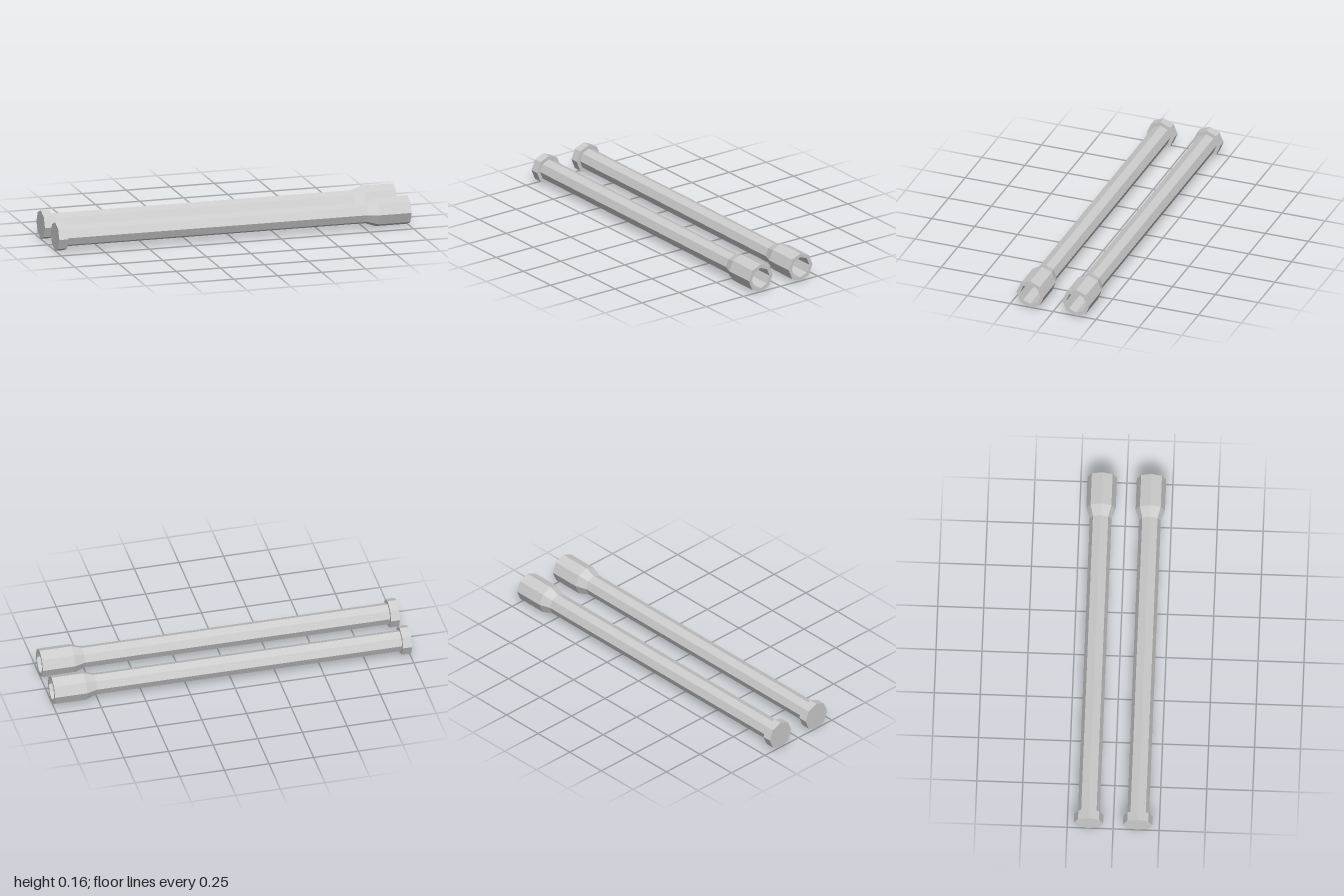
import * as THREE from 'three';

const OUTER = 0.08; // end cap and socket radius
const SHAFT = 0.059; // shaft and bore radius

// One eight-sided rod, turned about its length: [distance along x, radius]
function createRod(material) {
  const profile = [
    [-1, 0], [-1, OUTER], [-0.95, OUTER], [-0.95, SHAFT], // end cap
    [0.76, SHAFT], [0.82, OUTER], // shaft and flare
    [1, OUTER], [1, SHAFT], [0.82, SHAFT], [0.82, 0], // hollow socket
  ].map(([x, r]) => new THREE.Vector2(r, x));
  const geometry = new THREE.LatheGeometry(profile, 8);
  geometry.rotateZ(-Math.PI / 2);
  return new THREE.Mesh(geometry, material);
}

export function createModel() {
  const group = new THREE.Group();
  group.name = 'rodPair';
  const material = new THREE.MeshStandardMaterial({ color: 0xcccccc, flatShading: true });

  // Two parallel rods
  for (const [name, z] of [['frontRod', 0.134], ['backRod', -0.134]]) {
    const rod = createRod(material);
    rod.name = name;
    rod.position.set(0, OUTER, z);
    group.add(rod);
  }
  return group;
}
